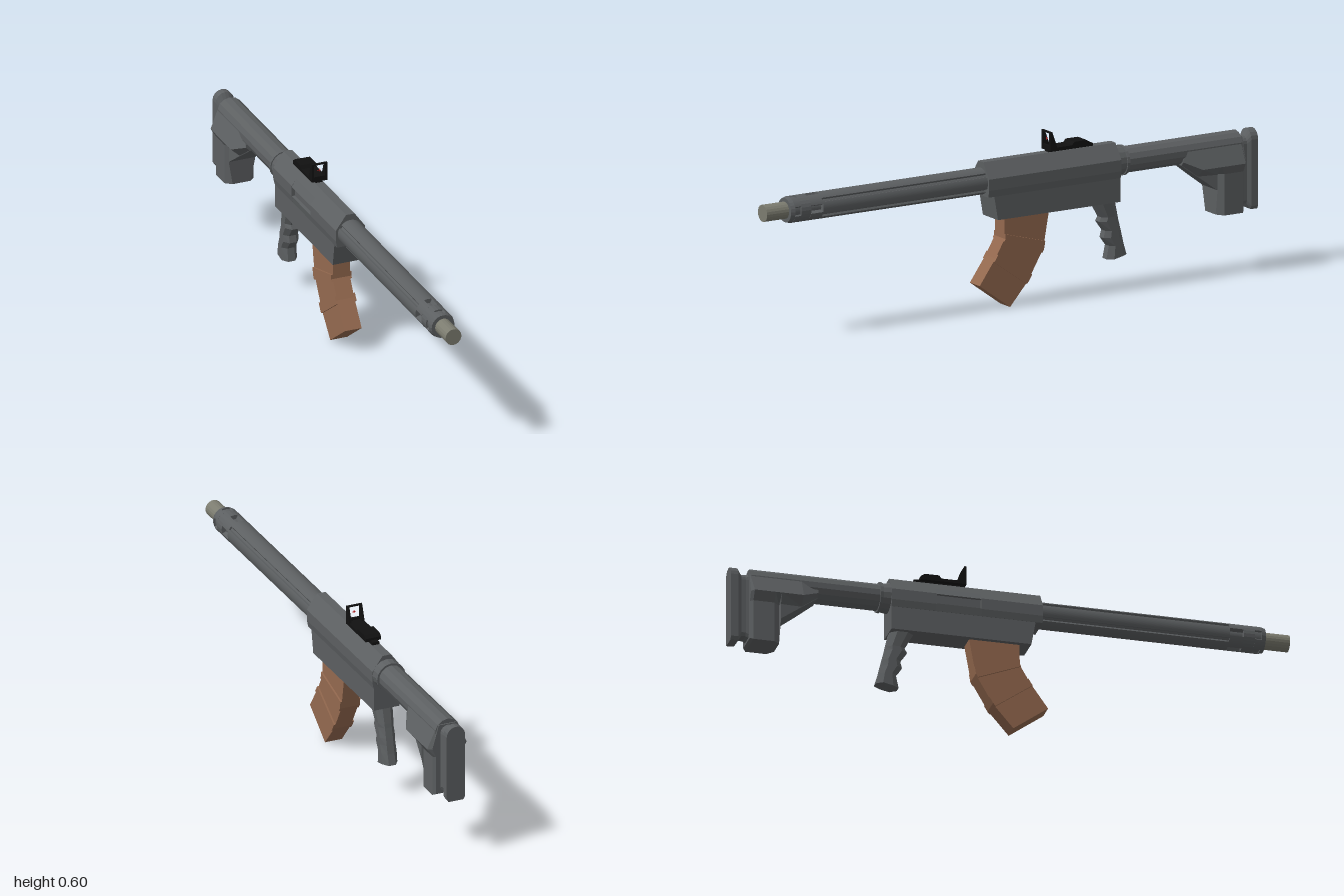
import * as THREE from 'three';

const mat = (color, extra = {}) => new THREE.MeshStandardMaterial({ color, flatShading: true, roughness: 0.8, ...extra });
const AXIS = 0.455; // height of the barrel axis

// Joins equal-length rings of [x, y, z] into a closed, outward-facing solid
function loft(rings) {
  const pos = [];
  const tri = (a, b, c) => pos.push(...a, ...b, ...c);
  const n = rings[0].length;
  const mid = r => [0, 1, 2].map(k => r.reduce((s, p) => s + p[k], 0) / n);
  const first = rings[0], last = rings[rings.length - 1];
  const c0 = mid(first), c1 = mid(last);
  for (let j = 0; j < n; j++) {
    const k = (j + 1) % n;
    for (let i = 0; i + 1 < rings.length; i++) {
      const a = rings[i], b = rings[i + 1];
      tri(a[j], a[k], b[k]);
      tri(a[j], b[k], b[j]);
    }
    tri(c0, first[k], first[j]);
    tri(c1, last[j], last[k]);
  }
  // Signed volume tells whether the winding must be flipped
  let vol = 0;
  for (let i = 0; i < pos.length; i += 9) {
    const [a, b, c] = [0, 3, 6].map(o => new THREE.Vector3(pos[i + o], pos[i + o + 1], pos[i + o + 2]));
    vol += a.dot(b.cross(c));
  }
  if (vol < 0) {
    for (let i = 0; i < pos.length; i += 9) {
      for (let k = 0; k < 3; k++) [pos[i + 3 + k], pos[i + 6 + k]] = [pos[i + 6 + k], pos[i + 3 + k]];
    }
  }
  const g = new THREE.BufferGeometry();
  g.setAttribute('position', new THREE.Float32BufferAttribute(pos, 3));
  g.computeVertexNormals();
  return g;
}

const shapeOf = pts => new THREE.Shape(pts.map(p => new THREE.Vector2(...p)));

// Cross-section in x, y extruded from z0 to z1
function slabZ(shape, z0, z1) {
  return new THREE.ExtrudeGeometry(shape, { depth: z1 - z0, bevelEnabled: false }).translate(0, 0, z0);
}

// Side profile in z, y extruded across x from -half to half
function slabX(pts, half) {
  return new THREE.ExtrudeGeometry(shapeOf(pts.map(([z, y]) => [-z, y])), { depth: 2 * half, bevelEnabled: false })
    .translate(0, 0, -half).rotateY(Math.PI / 2);
}

const rod = (r0, r1, z0, z1, sides) =>
  new THREE.CylinderGeometry(r1, r0, z1 - z0, sides).rotateX(Math.PI / 2).translate(0, AXIS, (z0 + z1) / 2);

const box = (w, h, d, x, y, z) => new THREE.BoxGeometry(w, h, d).translate(x, y, z);

// Round section with grooves sunk at the given angles (degrees)
function grooved(radius, depth, angles, half) {
  const pts = [];
  for (let d = 0; d < 360; d += 3) {
    const cut = angles.some(a => Math.abs(((d - a + 540) % 360) - 180) <= half);
    const r = cut ? radius - depth : radius;
    const t = THREE.MathUtils.degToRad(d);
    pts.push([r * Math.cos(t), AXIS + r * Math.sin(t)]);
  }
  return shapeOf(pts);
}

export function createModel() {
  const model = new THREE.Group();
  const body = mat(0x5c5f61), steel = mat(0x7c7c70), brown = mat(0x94694f), black = mat(0x111111), red = mat(0xcc2222);
  const add = (name, geometry, material = body, parent = model) => {
    const m = new THREE.Mesh(geometry, material);
    m.name = name;
    parent.add(m);
    return m;
  };
  const group = name => {
    const g = new THREE.Group();
    g.name = name;
    model.add(g);
    return g;
  };

  // Barrel and fluted handguard with vent slots near the muzzle
  add('barrel', rod(0.03, 0.03, 0.75, 1, 20), steel);
  const guard = group('handguard');
  const flutes = [35, 145, 215, 325];
  add('guardBody', slabZ(grooved(0.047, 0.007, flutes, 7), 0.1, 0.78), body, guard);
  add('ventSection', slabZ(grooved(0.047, 0.016, [0, 90, 180, 270], 16), 0.78, 0.83), body, guard);
  add('guardFront', rod(0.047, 0.047, 0.83, 0.87, 24), body, guard);
  add('guardTip', slabZ(grooved(0.047, 0.006, [0, 90, 180, 270], 20), 0.87, 0.895), body, guard);
  add('guardRim', rod(0.047, 0.043, 0.895, 0.91, 24), body, guard);

  // Receiver: faceted upper with a side port, sloped lower
  const half = [[0.05, 0.405], [0.055, 0.43], [0.055, 0.47], [0.037, 0.495], [0.016, 0.524]];
  const left = half.map(([x, y]) => [-x, y]).reverse();
  const port = [[-0.055, 0.468], [-0.043, 0.468], [-0.043, 0.432], [-0.055, 0.432]];
  const plain = shapeOf([...half, ...left]);
  const notched = shapeOf([...half, ...left.slice(0, 2), ...port, left[4]]);
  const receiver = group('receiver');
  add('upperFront', slabZ(plain, -0.11, 0.11), body, receiver);
  add('upperPort', slabZ(notched, -0.27, -0.11), body, receiver);
  add('upperRear', slabZ(plain, -0.43, -0.27), body, receiver);
  add('lower', slabX([[0.11, 0.42], [0.085, 0.405], [0.07, 0.32], [-0.43, 0.32], [-0.43, 0.42]], 0.049), body, receiver);

  // Curved magazine: [front z, front y, back z, back y] per joint
  const joints = [
    [0.032, 0.33, -0.15, 0.33], [0.032, 0.245, -0.125, 0.19],
    [0.07, 0.18, -0.064, 0.085], [0.134, 0.09, 0.01, 0],
  ];
  const magRing = ([fz, fy, bz, by], w) => [[-w, fy, fz], [w, fy, fz], [w, by, bz], [-w, by, bz]];
  const between = (i, t) => joints[i].map((v, k) => v + (joints[i + 1][k] - v) * t);
  const magazine = group('magazine');
  add('magazineBody', loft(joints.map(j => magRing(j, 0.032))), brown, magazine);
  for (const i of [1, 2]) {
    add('magazineRib', loft([between(i - 1, 0.8), joints[i], between(i, 0.12)].map(j => magRing(j, 0.038))), brown, magazine);
  }

  // Pistol grip with finger ridges: [y, front z, back z]
  const gripRows = [
    [0.33, -0.338, -0.425], [0.265, -0.374, -0.44], [0.25, -0.365, -0.443], [0.215, -0.39, -0.452],
    [0.19, -0.383, -0.458], [0.16, -0.405, -0.465], [0.113, -0.395, -0.477],
  ];
  add('grip', loft(gripRows.map(([y, f, b], i) => {
    const w = i ? 0.029 : 0.034, s = (f - b) * 0.28, e = i === 6 ? 0.008 : 0;
    return [[-w * 0.45, y, f], [w * 0.45, y, f], [w, y, f - s], [w, y + e, b + s],
      [w * 0.45, y + e, b], [-w * 0.45, y + e, b], [-w, y + e, b + s], [-w, y, f - s]];
  })));

  // Stock tube and collar
  add('stockTube', rod(0.047, 0.047, -0.93, -0.42, 14));
  add('collar', rod(0.05, 0.054, -0.458, -0.43, 16));
  add('collarLip', rod(0.054, 0.054, -0.468, -0.458, 16));

  // Flared stock: [z, half width, flare height, bottom, lower half width]
  const stockRows = [
    [-0.69, 0.045, 0.425, 0.41, 0.03], [-0.75, 0.075, 0.397, 0.365, 0.042], [-0.825, 0.075, 0.397, 0.31, 0.05],
    [-0.828, 0.075, 0.397, 0.22, 0.034], [-0.85, 0.075, 0.397, 0.218, 0.055],
    [-0.925, 0.075, 0.397, 0.218, 0.055], [-0.935, 0.06, 0.397, 0.225, 0.045],
  ];
  add('stock', loft(stockRows.map(([z, w, m, b, l]) => {
    const knee = Math.max(b + 0.002, m - 0.032);
    const side = [[0.035, 0.485], [w, m], [l, knee], [l, b]];
    return [...side, ...side.map(([x, y]) => [-x, y]).reverse()].map(([x, y]) => [x, y, z]);
  })));

  // Butt pad: round-topped section that flares toward the rear
  const padRing = ([z, w, top, bottom]) => {
    const ring = [[w * 0.8, bottom, z], [w, bottom + 0.012, z]];
    for (let i = 0; i <= 8; i++) {
      const t = (i / 8) * Math.PI;
      ring.push([w * Math.cos(t), top - w + w * Math.sin(t), z]);
    }
    ring.push([-w, bottom + 0.012, z], [-w * 0.8, bottom, z]);
    return ring;
  };
  add('buttPad', loft([
    [-0.92, 0.033, 0.485, 0.225], [-0.945, 0.027, 0.48, 0.24], [-0.96, 0.027, 0.48, 0.24],
    [-0.973, 0.035, 0.502, 0.22], [-1, 0.035, 0.502, 0.218],
  ].map(padRing)));

  // Reflex sight: mount, housing and open window with a cross reticle
  const sight = group('sight');
  add('mount', box(0.026, 0.012, 0.18, 0, 0.528, -0.25), black, sight);
  add('housing', slabX([[-0.16, 0.53], [-0.16, 0.541], [-0.245, 0.541], [-0.255, 0.552],
    [-0.305, 0.552], [-0.32, 0.542], [-0.32, 0.53]], 0.029), black, sight);
  const frame = shapeOf([[-0.029, 0.53], [0.029, 0.53], [0.029, 0.598], [-0.029, 0.598]]);
  frame.holes.push(new THREE.Path([[-0.02, 0.549], [-0.02, 0.593], [0.02, 0.593], [0.02, 0.549]].map(p => new THREE.Vector2(...p))));
  add('windowFrame', slabZ(frame, -0.164, -0.156), black, sight);
  for (const s of [-1, 1]) {
    add('windowGusset', slabX([[-0.157, 0.598], [-0.164, 0.598], [-0.185, 0.54], [-0.157, 0.54]], 0.0045)
      .translate(s * 0.0245, 0, 0), black, sight);
  }
  add('reticle', box(0.011, 0.002, 0.001, 0, 0.571, -0.16), red, sight);
  add('reticle', box(0.002, 0.011, 0.001, 0, 0.571, -0.16), red, sight);

  return model;
}
